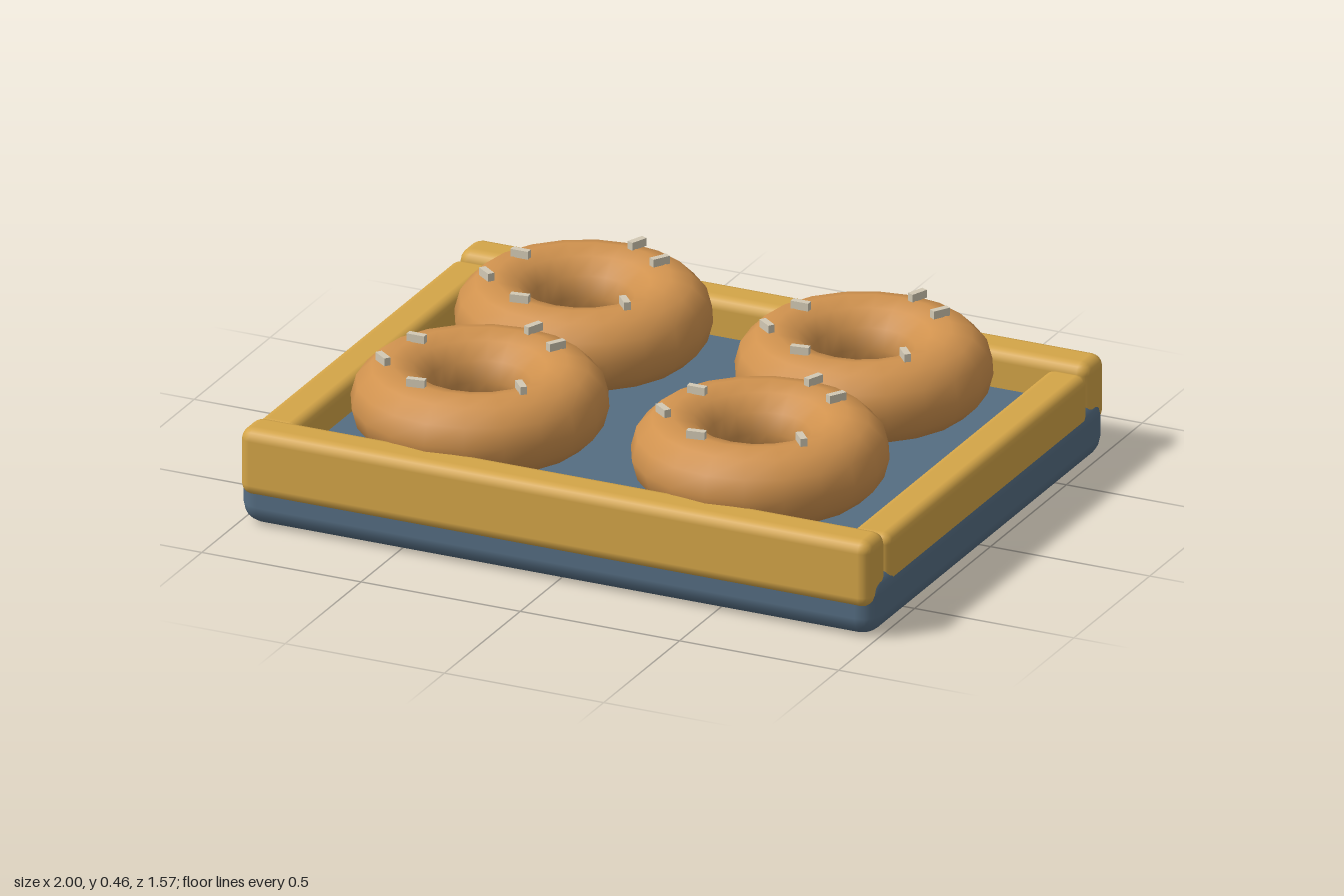
import * as THREE from 'three';
import { RoundedBoxGeometry } from 'three/addons/geometries/RoundedBoxGeometry.js';

const material = (name, color) => {
  const m = new THREE.MeshStandardMaterial({ color });
  m.name = name;
  return m;
};

export function createModel() {
  const slate = material('slate blue', 0x556d82);
  const wood = material('golden wood', 0xd4a548);
  const dough = material('baked dough', 0xd0924e);
  const cream = material('cream', 0xd2c9b4);

  const model = new THREE.Group();
  model.name = 'doughnutTray';

  const add = (parent, name, geometry, mat, x, y, z) => {
    const mesh = new THREE.Mesh(geometry, mat);
    mesh.name = name;
    mesh.position.set(x, y, z);
    parent.add(mesh);
    return mesh;
  };

  // Tray base
  add(model, 'trayBase', new RoundedBoxGeometry(2, 0.185, 1.54, 2, 0.06), slate, 0, 0.0925, 0);

  // Rim: long rails at front and back, lower rails between them at the sides
  const longRail = new RoundedBoxGeometry(1.98, 0.205, 0.125, 2, 0.035);
  const sideRail = new RoundedBoxGeometry(0.125, 0.18, 1.32, 2, 0.03);
  for (const s of [1, -1]) {
    add(model, s > 0 ? 'frontRail' : 'backRail', longRail, wood, 0, 0.1975, s * 0.721);
    add(model, s > 0 ? 'leftRail' : 'rightRail', sideRail, wood, s * 0.9325, 0.19, 0);
  }

  // Doughnuts, each with the same six sprinkles: [x, z, direction x, direction z]
  const sprinkles = [
    [0.043, -0.262, 4, -10],
    [0.155, -0.176, 5, -8],
    [-0.225, -0.056, 1, 0],
    [-0.246, 0.123, 8, 6],
    [0.198, 0.144, 6, 7],
    [-0.086, 0.24, 10, -1.5],
  ];
  const ring = new THREE.TorusGeometry(0.25, 0.12, 12, 20).rotateX(-Math.PI / 2);
  const sprinkle = new THREE.BoxGeometry(0.055, 0.024, 0.02);
  for (const x of [-0.44, 0.44]) {
    for (const z of [-0.342, 0.342]) {
      const doughnut = new THREE.Group();
      doughnut.name = 'doughnut';
      doughnut.position.set(x, 0.32, z);
      add(doughnut, 'ring', ring, dough, 0, 0, 0);
      for (const [sx, sz, dx, dz] of sprinkles) {
        add(doughnut, 'sprinkle', sprinkle, cream, sx, 0.13, sz).rotation.y = Math.atan2(-dz, dx);
      }
      model.add(doughnut);
    }
  }
  return model;
}
